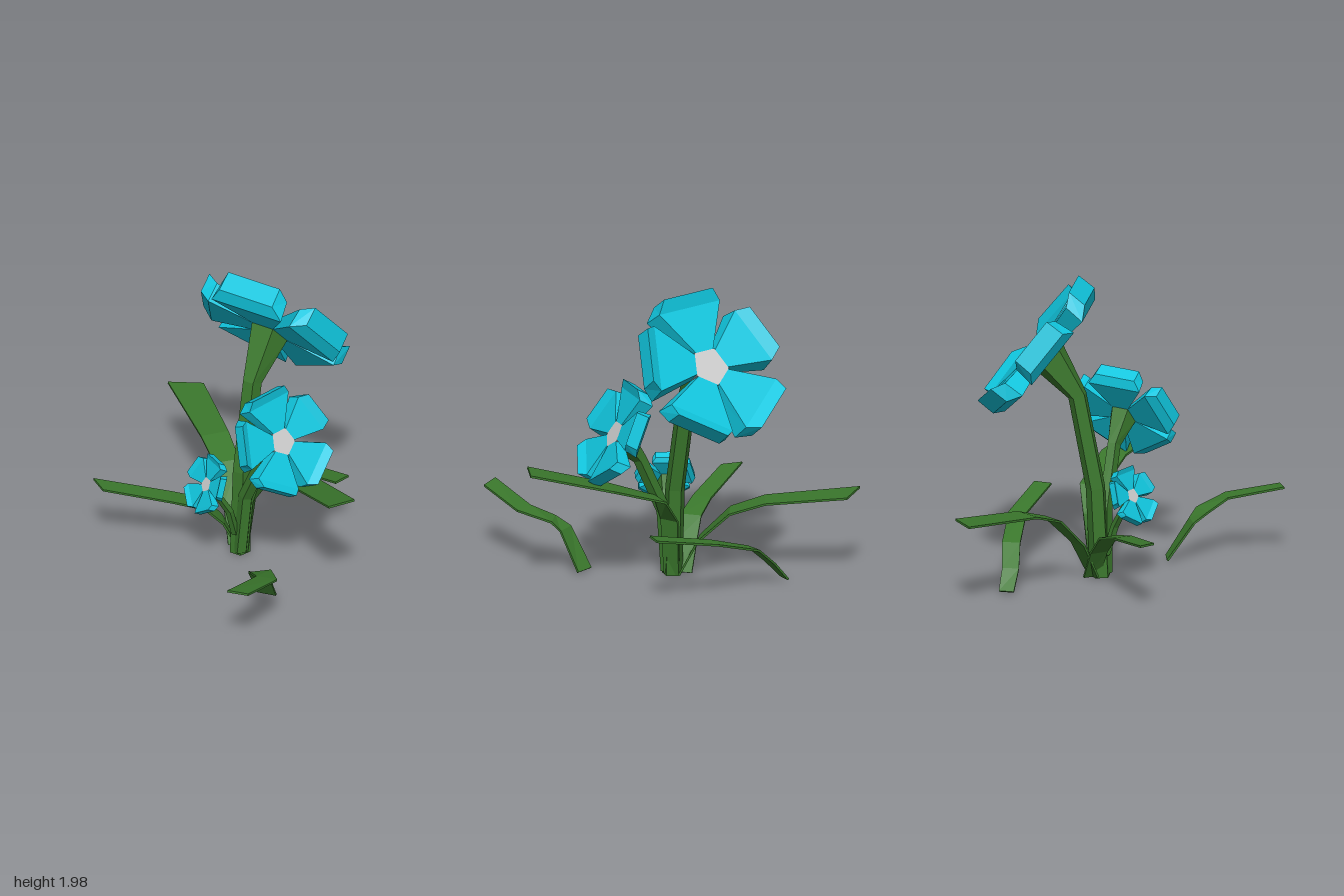
import * as THREE from 'three';

const V = (x, y, z) => new THREE.Vector3(x, y, z);
const mat = color => new THREE.MeshStandardMaterial({ color, flatShading: true });
const green = mat(0x3a772c), blue = mat(0x10c6de), grey = mat(0xcccccc);

// Skin a row of closed rings; rings run anticlockwise seen from the far end
function loft(rings, cap) {
  const pos = [];
  const tri = (...p) => p.forEach(q => pos.push(q.x, q.y, q.z));
  const n = rings[0].length;
  for (let i = 0; i + 1 < rings.length; i++) {
    for (let j = 0; j < n; j++) {
      const k = (j + 1) % n, a = rings[i], b = rings[i + 1];
      tri(a[j], a[k], b[k]);
      tri(a[j], b[k], b[j]);
    }
  }
  cap = cap || Array.from({ length: n - 2 }, (_, i) => [0, i + 1, i + 2]);
  const first = rings[0], last = rings[rings.length - 1];
  for (const [a, b, c] of cap) {
    tri(last[a], last[b], last[c]);
    tri(first[a], first[c], first[b]);
  }
  const g = new THREE.BufferGeometry();
  g.setAttribute('position', new THREE.Float32BufferAttribute(pos, 3));
  g.computeVertexNormals();
  return g;
}

function part(name, geometry, material) {
  const m = new THREE.Mesh(geometry, material);
  m.name = name;
  return m;
}

// Five-sided ring with one flat side towards "up"
function pentagon(centre, normal, up, r) {
  const n = normal.clone().normalize();
  const v = up.clone().addScaledVector(n, -up.dot(n)).normalize();
  const u = v.clone().cross(n);
  return Array.from({ length: 5 }, (_, i) => {
    const a = (54 + 72 * i) * Math.PI / 180;
    return centre.clone().addScaledVector(u, r * Math.cos(a)).addScaledVector(v, r * Math.sin(a));
  });
}

// Petal grows along +y, its face looks along +z; base, shoulder and raised tip,
// each given as [half width, height]
function petalGeometry(width) {
  const ring = (...rows) => {
    const [base, shoulder, tip] = rows.map(([w, z], i) => [w * (i ? width : 1), [0.11, 0.41, 0.49][i], z]);
    const right = [base, shoulder, tip].map(p => V(...p));
    const left = [tip, shoulder, base].map(([x, y, z]) => V(-x, y, z));
    return [...right, ...left];
  };
  return loft([ring([0.08, -0.09], [0.25, -0.11], [0.19, -0.055]),
    ring([0.07, 0], [0.23, 0.03], [0.185, 0.078])],
  [[0, 1, 4], [0, 4, 5], [1, 2, 3], [1, 3, 4]]);
}

// Flower head with its stem; path entries are [x, y, z, radius]
function flower(name, centre, normal, up, size, path) {
  const group = new THREE.Group();
  group.name = name;
  const n = normal.clone().normalize();
  const v = up.clone().addScaledVector(n, -up.dot(n)).normalize();

  const head = new THREE.Group();
  head.name = name + 'Head';
  head.quaternion.setFromRotationMatrix(new THREE.Matrix4().makeBasis(v.clone().cross(n), v, n));
  head.position.copy(centre);
  head.scale.setScalar(size);
  [1.07, 1, 1, 1, 0.88].forEach((width, i) => {
    const p = part('petal', petalGeometry(width), blue);
    p.rotation.z = i * Math.PI * 2 / 5;
    head.add(p);
  });
  const z = V(0, 0, 1), y = V(0, 1, 0);
  head.add(part('flowerCentre',
    loft([pentagon(V(0, 0, -0.08), z, y, 0.137), pentagon(V(0, 0, 0), z, y, 0.137)]), grey));
  group.add(head);

  // Stem flares out under the head
  const end = centre.clone().addScaledVector(n, -0.09 * size);
  const pts = [...path.map(p => V(p[0], p[1], p[2])), end];
  const rings = path.map((p, i) => {
    const dir = i ? pts[i + 1].clone().sub(pts[i - 1]) : V(0, 1, 0);
    return pentagon(pts[i], dir, v, p[3]);
  });
  rings.push(pentagon(end, n, v, 0.137 * size));
  group.add(part(name + 'Stem', loft(rings), green));
  return group;
}

// Thin bent strip, level across; points are [x, y, z, width], the tip is cut askew
function leaf(name, points, skew = 0) {
  const p = points.map(q => V(q[0], q[1], q[2]));
  const end = p.length - 1;
  const rings = p.map((c, i) => {
    const t = p[Math.min(i + 1, end)].clone().sub(p[Math.max(i - 1, 0)]).normalize();
    const side = V(t.z, 0, -t.x).normalize();
    const up = t.clone().cross(side);
    const w = points[i][3] / 2, h = 0.007, s = i === end ? skew : 0;
    return [[1, -1], [1, 1], [-1, 1], [-1, -1]].map(([a, b]) => c.clone()
      .addScaledVector(side, a * w).addScaledVector(up, b * h).addScaledVector(t, a * s));
  });
  return part(name, loft(rings), green);
}

export function createModel() {
  const g = new THREE.Group();
  g.name = 'flowerPlant';

  // Three flowers
  g.add(flower('largeFlower', V(0, 1.546, -0.567), V(0, 0.62, -0.79), V(0, 0.79, 0.62), 1,
    [[0, 0, -0.15, 0.07], [0, 0.6, -0.18, 0.067], [0, 1.22, -0.3, 0.065]]));
  g.add(flower('mediumFlower', V(0.4, 1.02, -0.045), V(0.82, 0.5, 0.27), V(-0.5, 0.86, -0.1), 0.69,
    [[0.02, 0.02, -0.125, 0.05], [0.06, 0.45, -0.13, 0.05], [0.23, 0.83, -0.1, 0.047]]));
  g.add(flower('smallFlower', V(-0.115, 0.59, 0.085), V(-0.45, 0.45, 0.77), V(0.2, 0.88, -0.4), 0.38,
    [[-0.01, 0.15, -0.11, 0.03], [-0.02, 0.35, -0.05, 0.028], [-0.07, 0.51, 0.03, 0.025]]));

  // Leaves growing from the base
  g.add(leaf('backRightLeaf', [[-0.04, 0.01, -0.19, 0.13], [-0.12, 0.25, -0.28, 0.15],
    [-0.27, 0.45, -0.42, 0.17], [-0.45, 0.525, -0.56, 0.19], [-0.9, 0.58, -0.92, 0.22]], 0.04));
  g.add(leaf('leftLeaf', [[0.03, 0.01, -0.18, 0.1], [0.07, 0.4, -0.21, 0.13],
    [0.16, 0.565, -0.23, 0.17], [0.5, 0.69, -0.14, 0.19], [0.96, 0.82, 0.13, 0.19]]));
  g.add(leaf('frontRightLeaf', [[-0.05, 0.01, -0.2, 0.12], [-0.13, 0.2, -0.14, 0.13],
    [-0.22, 0.33, -0.06, 0.14], [-0.4, 0.385, 0.06, 0.13], [-0.815, 0.465, 0.29, 0.12]], -0.035));

  // Loose leaves standing apart
  g.add(leaf('looseBackLeaf', [[-0.51, 0.015, -0.69, 0.1], [-0.4, 0.14, -0.68, 0.11],
    [-0.25, 0.27, -0.7, 0.12], [0.08, 0.38, -0.71, 0.12], [0.5, 0.465, -0.61, 0.12]]));
  g.add(leaf('looseFrontLeaf', [[0.44, 0.01, 0.22, 0.13], [0.475, 0.26, 0.38, 0.13],
    [0.53, 0.32, 0.44, 0.14], [0.665, 0.385, 0.58, 0.14], [0.67, 0.468, 0.945, 0.13]], -0.025));
  return g;
}
